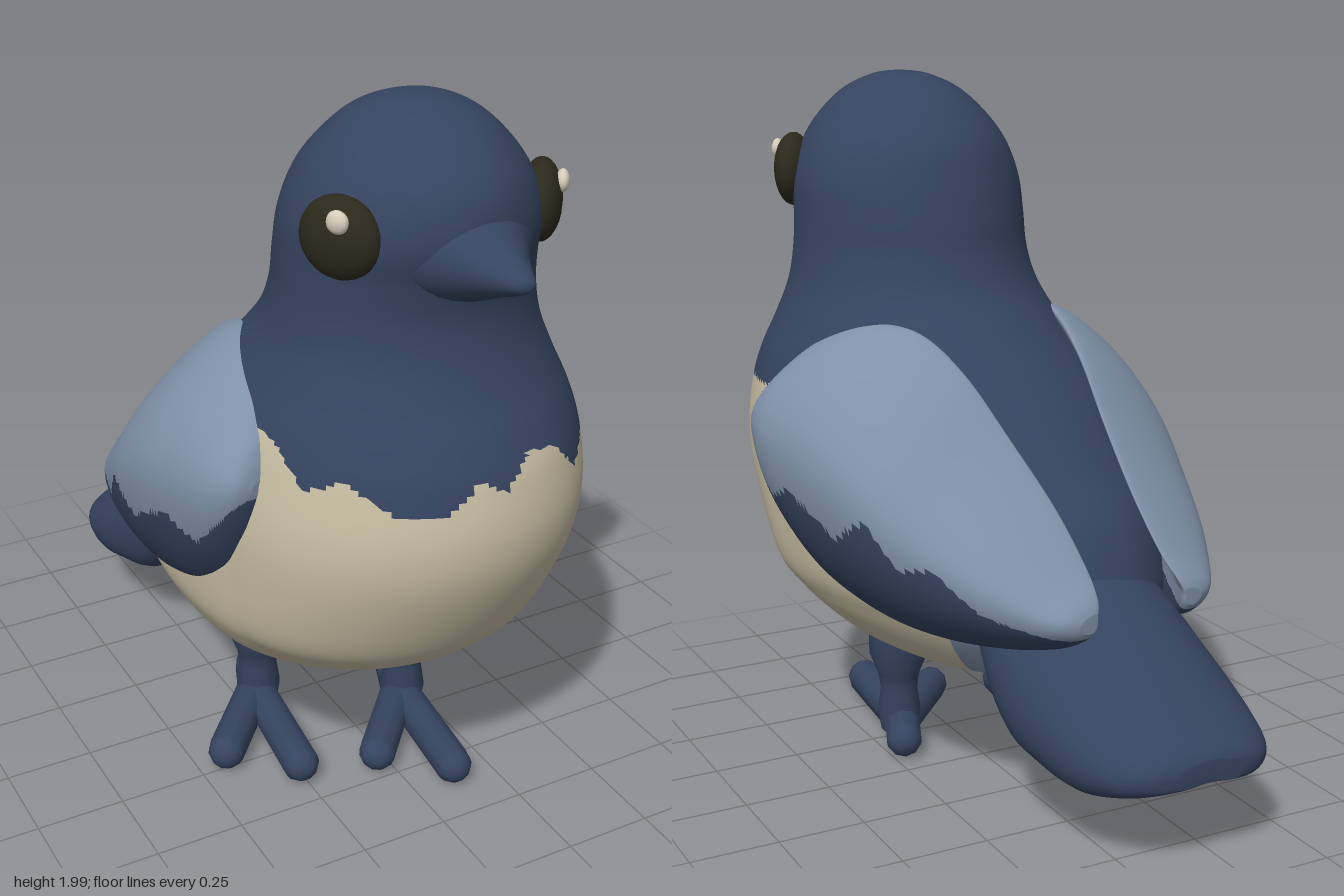
import * as THREE from 'three';

const mat = (name, color) => {
  const m = new THREE.MeshStandardMaterial({ color });
  m.name = name;
  return m;
};

// Smooth sampling of a table of rows, t from 0 to 1
function sample(rows, t) {
  const f = t * (rows.length - 1), i = Math.min(Math.floor(f), rows.length - 2), k = f - i;
  const at = (n) => rows[Math.max(0, Math.min(rows.length - 1, n))];
  return rows[0].map((_, c) => {
    const a = at(i - 1)[c], b = at(i)[c], d = at(i + 1)[c], e = at(i + 2)[c];
    return b + 0.5 * k * (d - a + k * (2 * a - 5 * b + 4 * d - e + k * (3 * (b - d) + e - a)));
  });
}

// Straight-line interpolation through [x, y] points with rising x
function zigzag(points, x) {
  if (x <= points[0][0]) return points[0][1];
  for (let i = 1; i < points.length; i++) {
    const [x0, y0] = points[i - 1], [x1, y1] = points[i];
    if (x <= x1) return y0 + ((y1 - y0) * (x - x0)) / (x1 - x0);
  }
  return points[points.length - 1][1];
}

// Skin of closed rings, closed at both ends; pick(centre) gives the material number of each face
function loft(name, point, rings, sides, materials, pick, flip = false) {
  const pos = [], buckets = materials.map(() => []);
  for (let i = 0; i <= rings; i++) {
    for (let j = 0; j < sides; j++) pos.push(...point(i / rings, (j / sides) * Math.PI * 2));
  }
  const face = (a, b, c) => {
    const mid = [0, 1, 2].map((k) => (pos[a * 3 + k] + pos[b * 3 + k] + pos[c * 3 + k]) / 3);
    buckets[pick(mid)].push(a, ...(flip ? [c, b] : [b, c]));
  };
  for (let i = 0; i < rings; i++) {
    for (let j = 0; j < sides; j++) {
      const a = i * sides + j, b = i * sides + ((j + 1) % sides);
      face(a, b, a + sides);
      face(b, b + sides, a + sides);
    }
  }
  const last = rings * sides;
  for (let j = 1; j < sides - 1; j++) {
    face(0, j + 1, j);
    face(last, last + j, last + j + 1);
  }
  const g = new THREE.BufferGeometry();
  g.setAttribute('position', new THREE.Float32BufferAttribute(pos, 3));
  g.setIndex(buckets.flat());
  let start = 0;
  buckets.forEach((b, n) => {
    g.addGroup(start, b.length, n);
    start += b.length;
  });
  g.computeVertexNormals();
  const mesh = new THREE.Mesh(g, materials.length > 1 ? materials : materials[0]);
  mesh.name = name;
  return mesh;
}

export function createModel() {
  const bird = new THREE.Group();
  bird.name = 'bird';
  const navy = mat('navy feathers', 0x364460);
  const slate = mat('slate blue feathers', 0x8091a8);
  const cream = mat('cream breast', 0xc8bea4);
  const black = mat('dark eye', 0x2c2a1c);
  const shine = mat('eye highlight', 0xd8cfbd);

  // Head and body in one skin: y, front z, back z, widest z, half width
  const bodyRows = [
    [0.3, 0.09, 0.07, 0.08, 0.01], [0.303, 0.16, -0.05, 0.08, 0.08],
    [0.318, 0.3, -0.19, 0.11, 0.19], [0.36, 0.43, -0.31, 0.15, 0.29],
    [0.42, 0.55, -0.38, 0.2, 0.365], [0.5, 0.67, -0.45, 0.25, 0.43],
    [0.6, 0.76, -0.52, 0.3, 0.476], [0.8, 0.86, -0.46, 0.34, 0.5],
    [0.95, 0.89, -0.35, 0.36, 0.5], [1.1, 0.87, -0.24, 0.36, 0.478],
    [1.2, 0.83, -0.16, 0.36, 0.45], [1.3, 0.775, -0.075, 0.37, 0.405],
    [1.4, 0.735, 0, 0.38, 0.365], [1.5, 0.72, 0.04, 0.39, 0.345],
    [1.6, 0.735, 0.06, 0.39, 0.338], [1.7, 0.765, 0.085, 0.4, 0.33],
    [1.8, 0.755, 0.12, 0.41, 0.295], [1.88, 0.71, 0.18, 0.42, 0.24],
    [1.95, 0.63, 0.26, 0.43, 0.165], [1.99, 0.53, 0.36, 0.44, 0.08],
    [2.0, 0.46, 0.44, 0.45, 0.01],
  ];
  const bib = [
    [-0.42, 1.2], [-0.39, 1.18], [-0.37, 1.08], [-0.3, 1.13], [-0.2, 1.05], [-0.1, 1.05], [0, 1.13],
    [0.07, 1.09], [0.15, 1.17], [0.25, 1.15], [0.33, 1.06], [0.42, 1.1], [0.5, 1.12],
  ];
  const bodyPoint = (u, a) => {
    const [y, front, back, mid, w] = sample(bodyRows, u);
    const c = Math.cos(a), z = mid + c * (c > 0 ? front - mid : mid - back);
    const yaw = (z > 0.4 ? 0.04 : 0.17) * (1 - THREE.MathUtils.smoothstep(y, 1.05, 1.5));
    const cx = 0.01 + 0.035 * THREE.MathUtils.smoothstep(y, 0.4, 1.3);
    return [cx + w * Math.sin(a) + yaw * (z - 0.4), y, z];
  };
  const bodyColour = ([x, y, z]) => {
    if (z > 0.36) return y < zigzag(bib, x) ? 1 : 0;
    if (y < 0.5 && z < -0.06 - 0.6 * Math.abs(x + 0.03)) return z < -0.37 ? 0 : 2;
    return y < 0.74 + z ? 1 : 0;
  };
  bird.add(loft('body', bodyPoint, 180, 150, [navy, cream, slate], bodyColour));

  // Beak flaring into the face: z, centre y, half width, half height
  const beakRows = [
    [0.6, 1.69, 0.27, 0.16], [0.68, 1.68, 0.2, 0.135], [0.74, 1.667, 0.138, 0.11],
    [0.82, 1.66, 0.08, 0.066], [0.9, 1.656, 0.036, 0.028], [0.918, 1.655, 0.02, 0.015],
    [0.922, 1.655, 0.004, 0.004],
  ];
  bird.add(loft('beak', (u, a) => {
    const [z, y, w, h] = sample(beakRows, u);
    return [0.045 + 0.025 * u + w * Math.cos(a), y + h * Math.sin(a), z];
  }, 24, 28, [navy], () => 0));

  // Thick drooping tail with a grooved underside: z, top y, edge y, bottom y, half width
  const tailRows = [
    [-0.15, 0.74, 0.62, 0.56, 0.05], [-0.22, 0.82, 0.58, 0.48, 0.18], [-0.34, 0.8, 0.52, 0.395, 0.265],
    [-0.47, 0.715, 0.41, 0.265, 0.295], [-0.6, 0.615, 0.34, 0.225, 0.295], [-0.73, 0.505, 0.3, 0.205, 0.283],
    [-0.84, 0.405, 0.285, 0.225, 0.245], [-0.9, 0.35, 0.285, 0.245, 0.18], [-0.92, 0.32, 0.285, 0.255, 0.1],
  ];
  bird.add(loft('tail', (u, a) => {
    const [z, top, edge, bottom, w] = sample(tailRows, u);
    const s = Math.sin(a);
    const y = s > 0 ? edge + (top - edge) * s : edge + (edge - bottom) * s * (2 - 1.2 * s * s);
    return [0.05 + 0.17 * (z - 0.4) + w * Math.cos(a), y, z];
  }, 36, 44, [navy], () => 0, true));

  // Folded wings: z, top y, bottom y, outward x, inward lean of the top, half thickness
  const wingRows = [
    [0.005, 1.07, 1.03, 0.5, 0.02, 0.01], [-0.008, 1.125, 0.97, 0.505, 0.04, 0.045],
    [-0.04, 1.19, 0.88, 0.51, 0.08, 0.065], [-0.12, 1.275, 0.74, 0.515, 0.15, 0.085],
    [-0.25, 1.325, 0.625, 0.51, 0.2, 0.095], [-0.4, 1.315, 0.565, 0.495, 0.24, 0.1],
    [-0.55, 1.22, 0.535, 0.465, 0.25, 0.1], [-0.7, 1.06, 0.525, 0.41, 0.235, 0.092],
    [-0.85, 0.9, 0.535, 0.335, 0.19, 0.085], [-0.97, 0.765, 0.56, 0.26, 0.12, 0.07],
    [-1.03, 0.7, 0.59, 0.215, 0.06, 0.055], [-1.05, 0.665, 0.615, 0.19, 0.02, 0.03],
  ];
  const wingEdge = [
    [-1.03, 0.6], [-0.87, 0.66], [-0.76, 0.77], [-0.66, 0.75], [-0.57, 0.87], [-0.45, 0.8],
    [-0.35, 0.86], [-0.25, 0.9], [-0.15, 0.85], [-0.055, 0.95], [0, 1.02],
  ];
  const wings = new THREE.Group();
  wings.name = 'wings';
  wings.position.set(0.05, 0, 0.4);
  wings.rotation.y = 0.187;
  for (const s of [1, -1]) {
    wings.add(loft(s > 0 ? 'leftWing' : 'rightWing', (u, a) => {
      const [z, top, bottom, x, lean, t] = sample(wingRows, u);
      const v = Math.sin(a), bend = (v > 0 ? lean : lean * 0.35) * v * v;
      return [s * (x - bend + t * Math.cos(a)), (top + bottom) / 2 + ((top - bottom) / 2) * v, z];
    }, 120, 90, [navy, slate], ([, y, z]) => (y > zigzag(wingEdge, z) ? 1 : 0), s > 0));
  }
  bird.add(wings);

  // Eyes with a small highlight
  for (const s of [1, -1]) {
    const eye = new THREE.Group();
    eye.name = s > 0 ? 'leftEye' : 'rightEye';
    eye.position.set(0.048 + s * 0.287, 1.715, 0.57);
    const ball = new THREE.Mesh(new THREE.SphereGeometry(1, 20, 14), black);
    ball.name = 'eyeball';
    ball.scale.set(0.11, 0.107, 0.055);
    ball.rotation.y = s * 1.0;
    const glint = new THREE.Mesh(new THREE.SphereGeometry(1, 12, 10), shine);
    glint.name = 'highlight';
    glint.scale.set(0.03, 0.03, 0.018);
    glint.rotation.y = s * 1.0;
    glint.position.set(s * 0.032, 0.057, 0.043);
    eye.add(ball, glint);
    bird.add(eye);
  }

  // Legs with two front toes and a heel, the left one stepping forward
  const shin = [[0.055, 0.04], [0.066, 0.1], [0.056, 0.17], [0.062, 0.22], [0.09, 0.29], [0.09, 0.36]]
    .map(([r, y]) => new THREE.Vector2(r, y));
  const up = new THREE.Vector3(0, 1, 0);
  [['leftLeg', 0, 0], ['rightLeg', -0.38, -0.21]].forEach(([name, x, z]) => {
    const leg = new THREE.Group();
    leg.name = name;
    leg.position.set(x, 0, z);
    const shank = new THREE.Mesh(new THREE.LatheGeometry(shin, 14), navy);
    shank.name = 'shank';
    shank.position.set(0.17, 0, 0.23);
    leg.add(shank);
    const root = new THREE.Vector3(0.165, 0.068, 0.22);
    [['innerToe', -0.04, 0.45], ['outerToe', 0.12, 0.6], ['heel', 0.215, 0.1]].forEach(([toeName, tx, tz]) => {
      const dir = new THREE.Vector3(tx, 0.062, tz).sub(root);
      const toe = new THREE.Mesh(new THREE.CapsuleGeometry(0.054, dir.length(), 4, 10), navy);
      toe.name = toeName;
      toe.position.copy(root).addScaledVector(dir, 0.5);
      toe.quaternion.setFromUnitVectors(up, dir.normalize());
      leg.add(toe);
    });
    bird.add(leg);
  });
  return bird;
}
